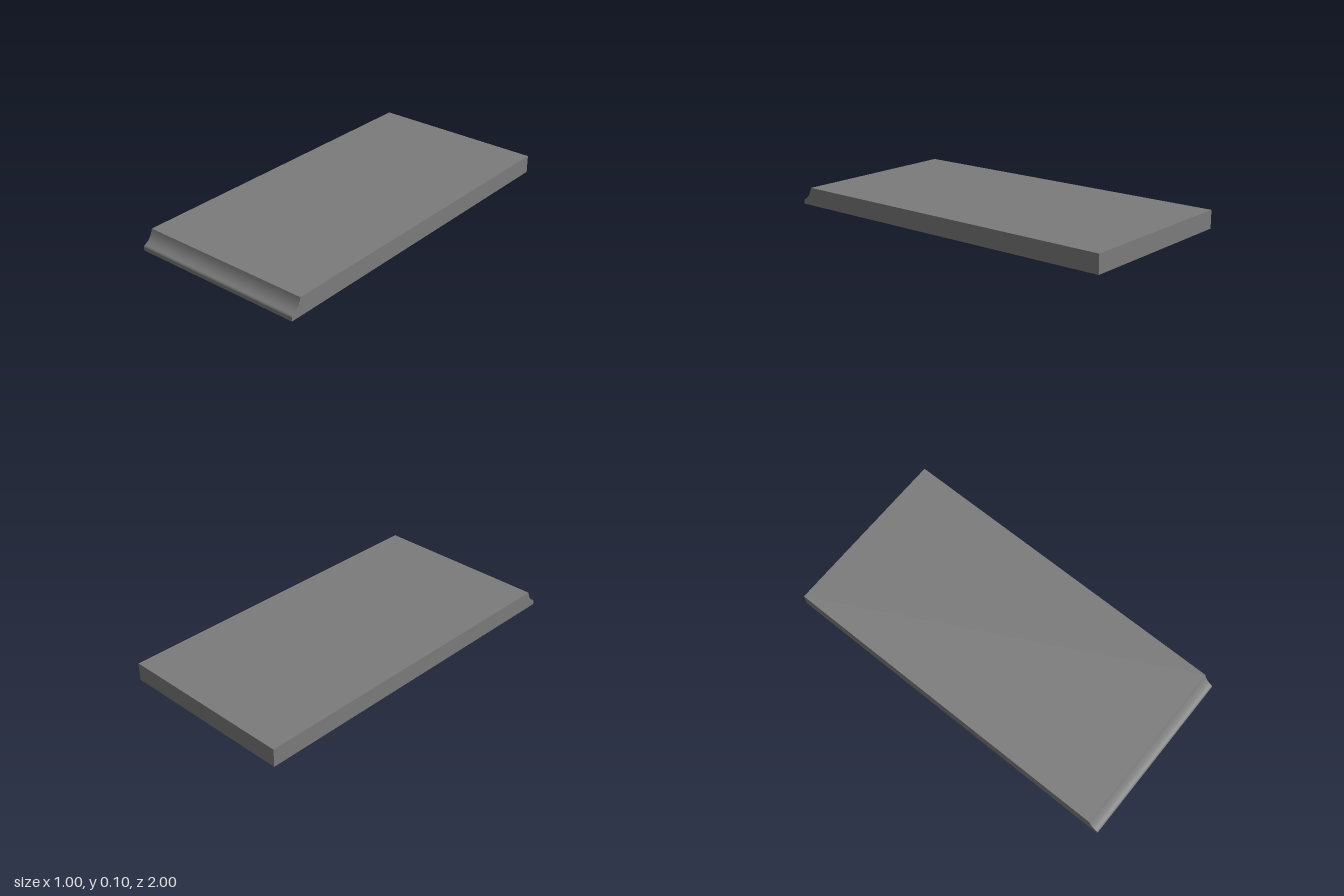
import * as THREE from 'three';

const HALF_W = 0.5, HALF_L = 1, H = 0.1;
const material = new THREE.MeshStandardMaterial({ color: 0x7b7b7b, side: THREE.DoubleSide });

// Sheet swept across the width along a (z, y) path running back to front
function sheet(name, path) {
  const positions = [], index = [];
  path.forEach(([z, y], i) => {
    positions.push(-HALF_W, y, z, HALF_W, y, z);
    if (i > 0) {
      const a = 2 * (i - 1);
      index.push(a, a + 2, a + 3, a, a + 3, a + 1);
    }
  });
  const geometry = new THREE.BufferGeometry();
  geometry.setAttribute('position', new THREE.Float32BufferAttribute(positions, 3));
  geometry.setIndex(index);
  geometry.computeVertexNormals();
  const mesh = new THREE.Mesh(geometry, material);
  mesh.name = name;
  return mesh;
}

export function createModel() {
  const group = new THREE.Group();
  group.name = 'covedSlab';

  // Front moulding: concave cove flowing over a small rounded lip to the base
  const profile = new THREE.Path();
  profile.moveTo(0.94, H);
  profile.quadraticCurveTo(0.952, 0.05, 0.99, 0.031);
  profile.quadraticCurveTo(0.999, 0.0265, HALF_L, 0.018);
  profile.lineTo(HALF_L, 0);
  const front = profile.getPoints(10).map((p) => [p.x, p.y]);

  // Back wall, top and moulding; the underside stays open
  group.add(
    sheet('backWall', [[-HALF_L, 0], [-HALF_L, H]]),
    sheet('topPanel', [[-HALF_L, H], front[0]]),
    sheet('frontMoulding', front)
  );

  // Mirrored side walls cut to the same profile
  const outline = [[-HALF_L, 0], ...front.slice().reverse(), [-HALF_L, H]];
  const sideGeometry = new THREE.ShapeGeometry(
    new THREE.Shape(outline.map(([z, y]) => new THREE.Vector2(z, y)))
  );
  sideGeometry.rotateY(-Math.PI / 2).translate(-HALF_W, 0, 0);
  for (const [name, side] of [['rightWall', 1], ['leftWall', -1]]) {
    const wall = new THREE.Mesh(sideGeometry, material);
    wall.name = name;
    wall.scale.x = side;
    group.add(wall);
  }
  return group;
}
